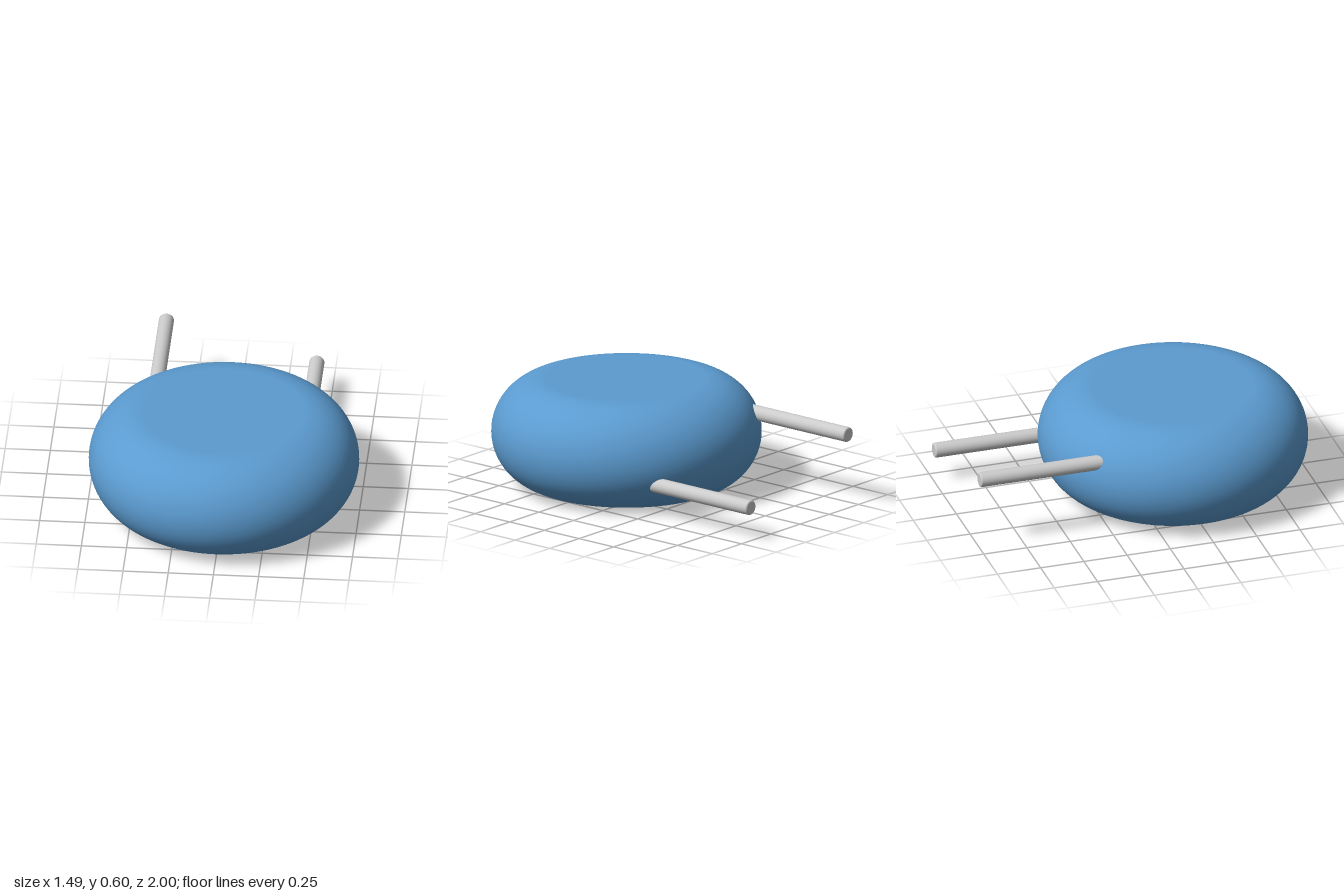
import * as THREE from 'three';

// Solid of revolution along +y with filleted rims, standing on y = 0
function roundedDisc(radius, height, fillet, arcSteps, sides) {
  const profile = [new THREE.Vector2(0, 0)];
  const arc = (cy, start) => {
    for (let i = 0; i <= arcSteps; i++) {
      const a = start + (i / arcSteps) * Math.PI / 2;
      profile.push(new THREE.Vector2(
        radius - fillet + fillet * Math.cos(a),
        cy + fillet * Math.sin(a)));
    }
  };
  arc(fillet, -Math.PI / 2);
  if (height - 2 * fillet < 1e-6) profile.pop(); // the two arcs meet
  arc(height - fillet, 0);
  profile.push(new THREE.Vector2(0, height));
  return new THREE.LatheGeometry(profile, sides);
}

export function createModel() {
  const group = new THREE.Group();
  const blue = new THREE.MeshStandardMaterial({ color: 0x5b9bd0 });
  const grey = new THREE.MeshStandardMaterial({ color: 0xcccccc });

  // Fat round body with a fully rounded rim
  const body = new THREE.Mesh(roundedDisc(0.746, 0.6, 0.3, 24, 96), blue);
  body.name = 'body';
  body.position.z = 0.252;
  group.add(body);

  // Two pins reaching backwards, one low and one high
  const pinGeometry = roundedDisc(0.042, 0.8, 0.01, 4, 32);
  pinGeometry.rotateX(-Math.PI / 2);
  for (const [name, x, y] of [['leftPin', 0.416, 0.188], ['rightPin', -0.416, 0.42]]) {
    const pin = new THREE.Mesh(pinGeometry, grey);
    pin.name = name;
    pin.position.set(x, y, -0.2);
    group.add(pin);
  }
  return group;
}
